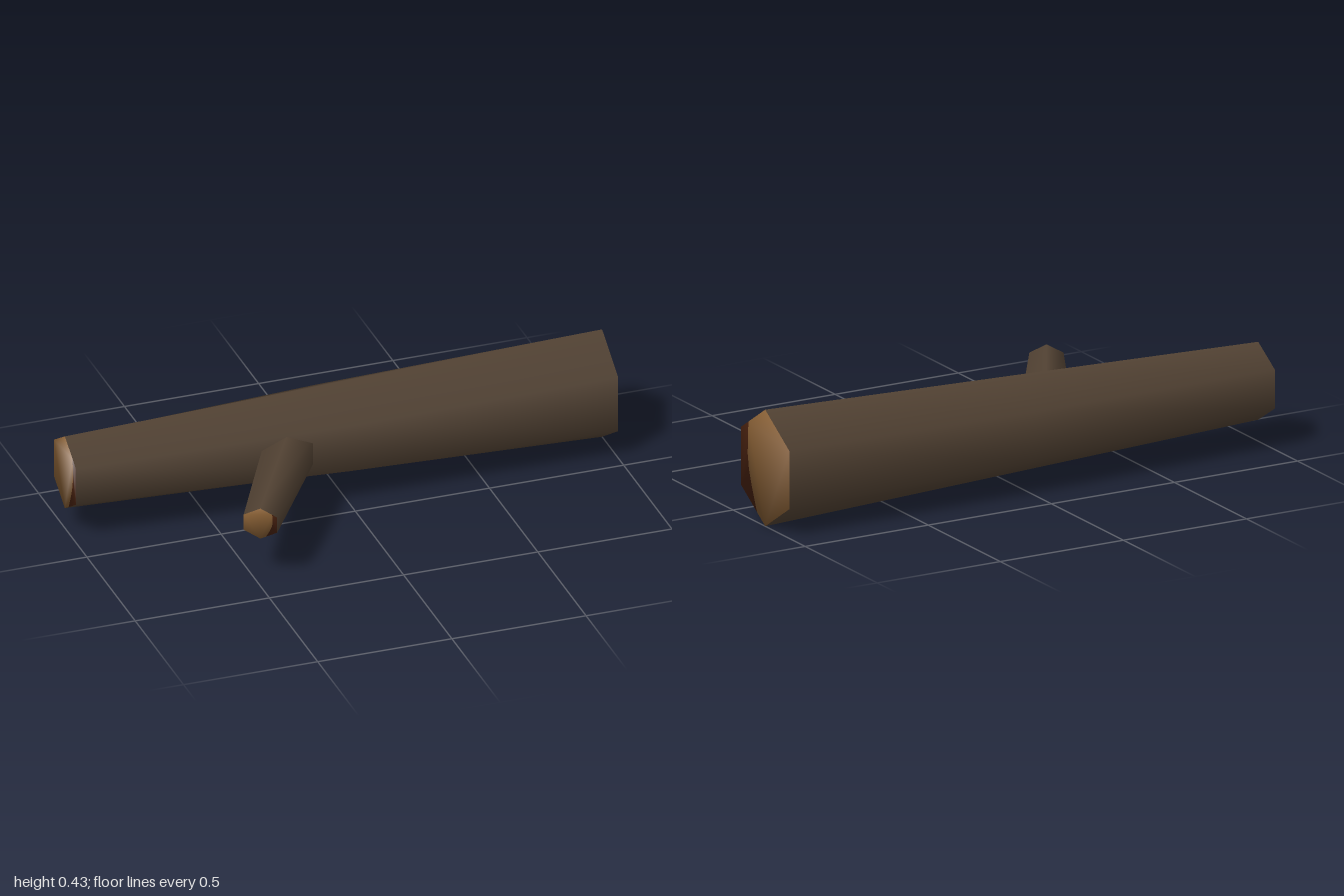
import * as THREE from 'three';

const bark = new THREE.MeshStandardMaterial({ color: 0x524233 });
bark.name = 'bark';
const wood = new THREE.MeshStandardMaterial({ color: 0x865e34 });
wood.name = 'cut wood';
const innerBark = new THREE.MeshStandardMaterial({ color: 0x47210f });
innerBark.name = 'inner bark';

const UP = new THREE.Vector3(0, 1, 0);

// Six-sided section as (u, v) with u sideways and v up
const HEX = [[0, -1], [1, -0.5], [1, 0.5], [0, 1], [-1, 0.5], [-1, -0.5]];

// Cut end: a sliver of inner bark on one side, pale wood on the rest
const SLIVER = [[0.34, -0.83], [1, -0.5], [1, 0.5], [0.7, 0.65], [0.73, 0.1], [0.68, -0.15], [0.55, -0.45]];
const FACE = [[0.7, 0.65], [0, 1], [-1, 0.5], [-1, -0.5], [0, -1], [0.34, -0.83], [0.55, -0.45], [0.68, -0.15], [0.73, 0.1]];

// Tapered limb through stations { c: centre, w: half width, h: half height }
function makeLimb(name, stations, side, cutStart) {
  const group = new THREE.Group();
  group.name = name;
  const forward = side.clone().cross(UP);

  const point = (st, [u, v]) => new THREE.Vector3(...st.c)
    .addScaledVector(side, u * st.w).addScaledVector(UP, v * st.h);
  const normal = ([u, v], along) => new THREE.Vector3()
    .addScaledVector(side, u).addScaledVector(UP, v).addScaledVector(forward, along).normalize();

  // corners: list of [station, uv], three per triangle
  function addMesh(meshName, corners, along, material) {
    const geo = new THREE.BufferGeometry();
    const pos = corners.flatMap(([st, uv]) => point(st, uv).toArray());
    const nor = corners.flatMap(([, uv]) => normal(uv, along).toArray());
    geo.setAttribute('position', new THREE.Float32BufferAttribute(pos, 3));
    geo.setAttribute('normal', new THREE.Float32BufferAttribute(nor, 3));
    const mesh = new THREE.Mesh(geo, material);
    mesh.name = meshName;
    group.add(mesh);
  }

  // Bark sides
  const sides = [];
  for (let i = 0; i < stations.length - 1; i++) {
    const p = stations[i], q = stations[i + 1];
    HEX.forEach((a, k) => {
      const b = HEX[(k + 1) % 6];
      sides.push([p, a], [p, b], [q, b], [p, a], [q, b], [q, a]);
    });
  }
  addMesh(name + 'Bark', sides, 0, bark);

  // Cut ends
  function addCut(label, st, direction) {
    for (const [part, outline, material] of [['Wood', FACE, wood], ['InnerBark', SLIVER, innerBark]]) {
      const contour = outline.map(([u, v]) => new THREE.Vector2(u, v));
      const corners = THREE.ShapeUtils.triangulateShape(contour, []).flatMap((tri) => {
        const order = direction > 0 ? tri : [tri[0], tri[2], tri[1]];
        return order.map((i) => [st, outline[i]]);
      });
      addMesh(name + label + part, corners, 0.4 * direction, material);
    }
  }
  addCut('Tip', stations[stations.length - 1], 1);
  if (cutStart) addCut('Butt', stations[0], -1);
  return group;
}

export function createModel() {
  const model = new THREE.Group();
  model.name = 'log';

  // Trunk, from the thick butt to the thin tip
  model.add(makeLimb('trunk', [
    { c: [1, 0.214, -0.223], w: 0.167, h: 0.214 },
    { c: [0, 0.218, -0.225], w: 0.165, h: 0.179 },
    { c: [-1, 0.222, -0.228], w: 0.115, h: 0.143 },
  ], new THREE.Vector3(0, 0, 1), true));

  // Side branch, its root buried in the trunk
  model.add(makeLimb('branch', [
    { c: [-0.143, 0.218, -0.22], w: 0.091, h: 0.09 },
    { c: [-0.482, 0.22, 0.357], w: 0.06, h: 0.06 },
  ], new THREE.Vector3(0.864, 0, 0.508).normalize(), false));

  return model;
}
